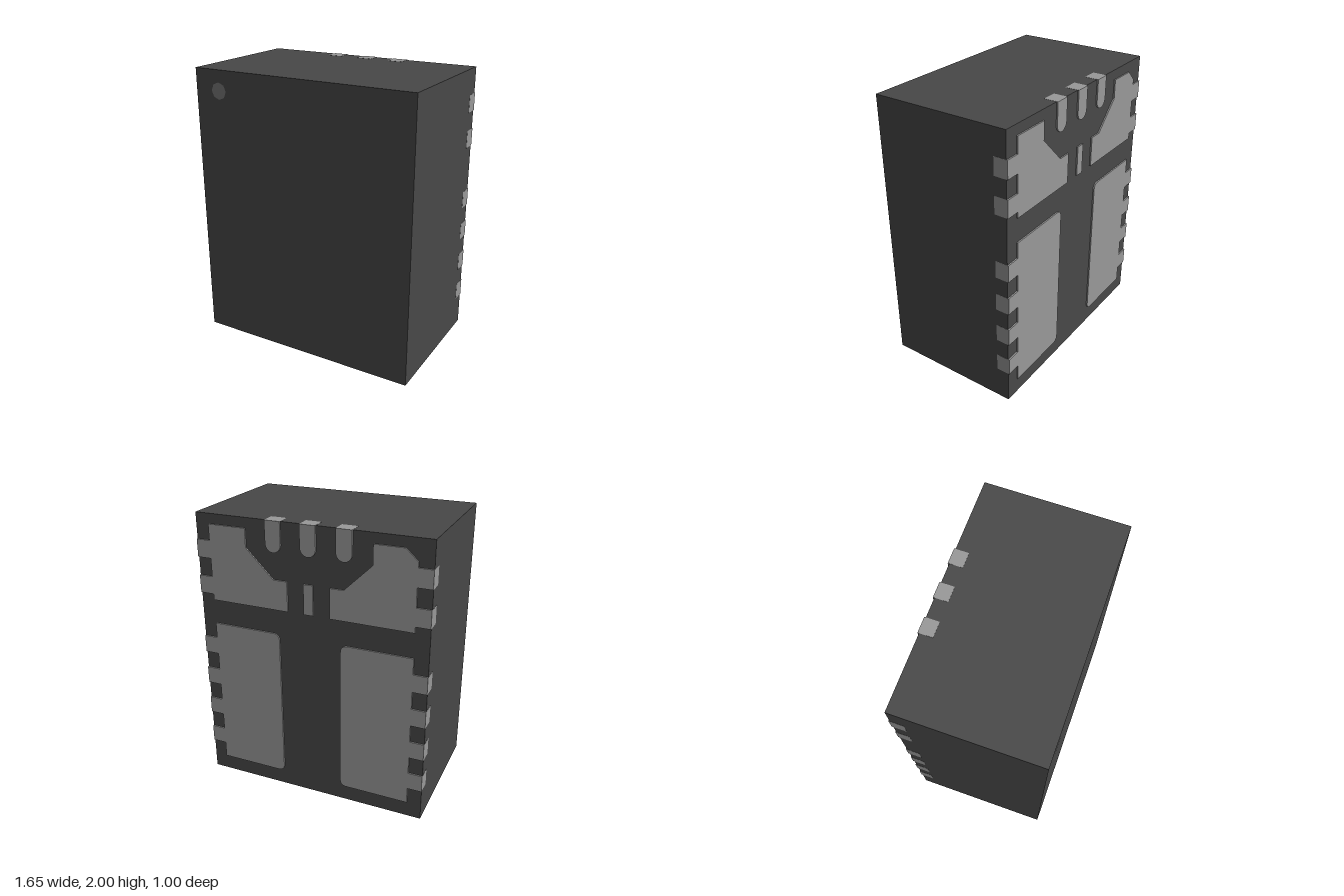
import * as THREE from 'three';

const W = 0.825, BACK = -0.5, FACE = -0.49, EPS = 0.001;

const bodyMat = new THREE.MeshStandardMaterial({ color: 0x484848 });
const metalMat = new THREE.MeshStandardMaterial({ color: 0x999999 });
const markMat = new THREE.MeshStandardMaterial({ color: 0x757575 });

export function createModel() {
  const model = new THREE.Group();

  const add = (name, geometry, material, x = 0, y = 0, z = 0) => {
    const mesh = new THREE.Mesh(geometry, material);
    mesh.name = name;
    mesh.position.set(x, y, z);
    model.add(mesh);
  };
  const box = (name, w, h, d, mat, x, y, z) =>
    add(name, new THREE.BoxGeometry(w, h, d), mat, x, y, z);
  // Thin plate on the back face, sunk slightly into the body
  const plate = (name, shape, depth = 0.02) =>
    add(name, new THREE.ExtrudeGeometry(shape, { depth, bevelEnabled: false, curveSegments: 8 }), metalMat, 0, 0, BACK);
  const polygon = (points) => new THREE.Shape(points.map(([x, y]) => new THREE.Vector2(x, y)));

  // Moulded package body
  box('body', 2 * W, 2, 0.5 - FACE, bodyMat, 0, 1, (0.5 + FACE) / 2);

  // Octagonal orientation dot on the front
  add('orientationMark', new THREE.CircleGeometry(0.06, 8), markMat, -0.635, 1.855, 0.5 + EPS);

  // Terminals wrapping onto both sides
  for (const s of [-1, 1]) {
    for (const y of [0.295, 0.545, 0.795, 1.045, 1.5, 1.755]) {
      box('sideTerminal', 0.1 + EPS, 0.125, 0.1, metalMat, s * (W - 0.05 + EPS / 2), y, BACK + 0.05);
    }
  }

  // Three terminals at the top edge: a block with a rounded tongue down the back
  for (const x of [-0.248, 0, 0.248]) {
    const r = 0.055;
    box('topTerminal', 2 * r, 0.1 + EPS, 0.1, metalMat, x, 1.95 + EPS / 2, BACK + 0.05);
    const tongue = new THREE.Shape();
    tongue.moveTo(x + r, 1.9);
    tongue.lineTo(x - r, 1.9);
    tongue.lineTo(x - r, 1.79 + r);
    tongue.absarc(x, 1.79 + r, r, Math.PI, 2 * Math.PI, false);
    tongue.closePath();
    plate('topTerminalTongue', tongue);
  }

  // Angled upper pads; the right one has a chamfered outer corner
  plate('upperPadLeft', polygon([
    [0.726, 1.395], [0.726, 1.93], [0.45, 1.93], [0.45, 1.8],
    [0.253, 1.605], [0.155, 1.605], [0.155, 1.395],
  ]));
  plate('upperPadRight', polygon([
    [-0.726, 1.395], [-0.15, 1.395], [-0.15, 1.605], [-0.245, 1.605],
    [-0.44, 1.795], [-0.44, 1.93], [-0.645, 1.93], [-0.726, 1.855],
  ]));

  // Small centre pad
  box('centrePad', 0.066, 0.21, 0.02, metalMat, 0.003, 1.5, BACK + 0.01);

  // Large lower pads, rounded on their inner corners
  for (const s of [-1, 1]) {
    const outer = s * 0.726, inner = s * 0.225, top = 1.22, low = 0.115, r = 0.05;
    const pad = new THREE.Shape();
    pad.moveTo(outer, low);
    pad.lineTo(outer, top);
    pad.lineTo(inner + s * r, top);
    pad.quadraticCurveTo(inner, top, inner, top - r);
    pad.lineTo(inner, low + r);
    pad.quadraticCurveTo(inner, low, inner + s * r, low);
    pad.closePath();
    plate(s > 0 ? 'lowerPadLeft' : 'lowerPadRight', pad);
  }

  return model;
}
